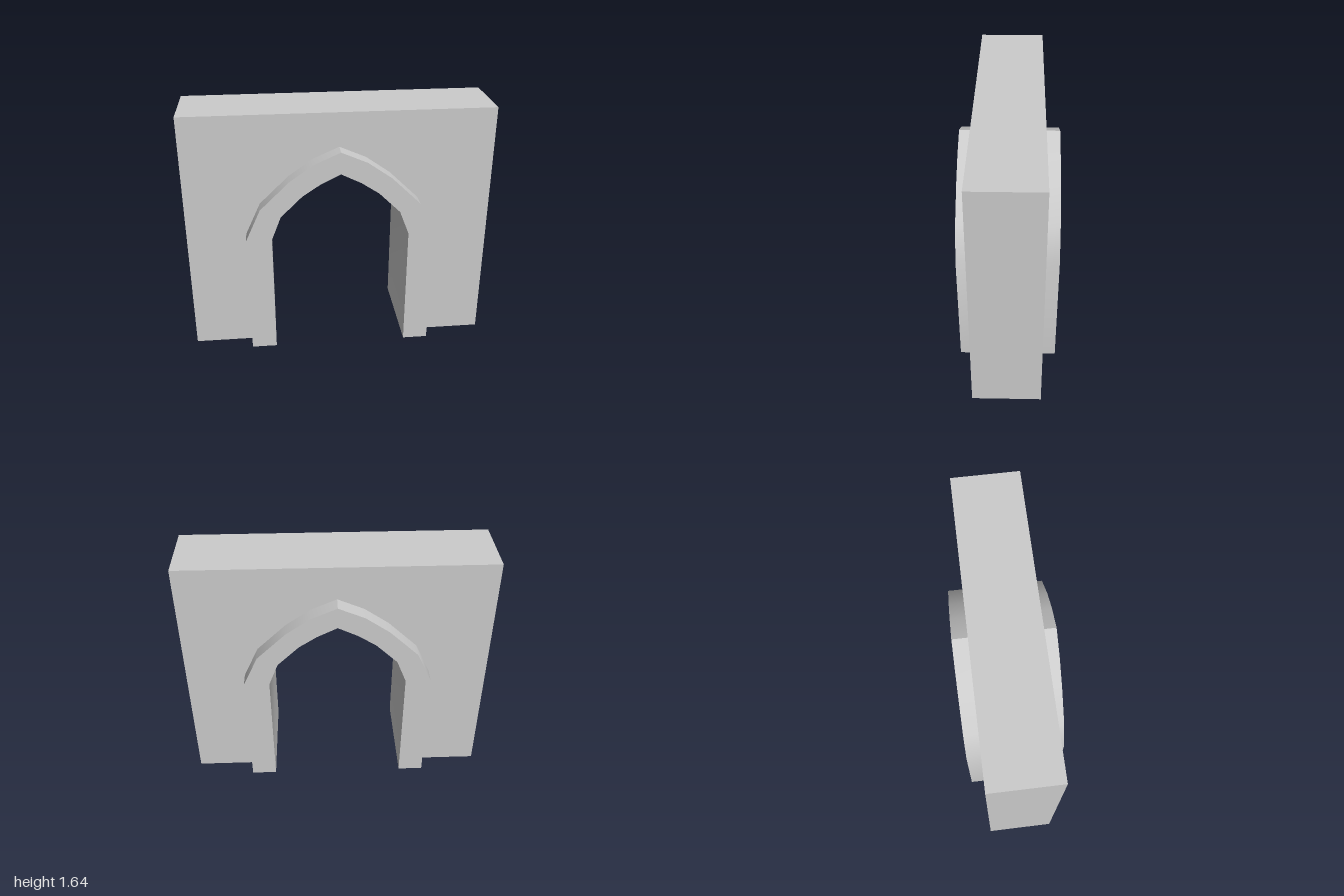
import * as THREE from 'three';
import { toCreasedNormals } from 'three/addons/utils/BufferGeometryUtils.js';

const WALL_DEPTH = 0.445, TRIM_DEPTH = 0.65, HEIGHT = 1.645;

// Right half of each pointed arch, from the ground up to the apex
const INNER = [[0.447, 0], [0.447, 0.835], [0.385, 0.995], [0.245, 1.133], [0.13, 1.21], [0, 1.275]];
const OUTER = [[0.613, 0], [0.613, 0.835], [0.515, 1.05], [0.325, 1.235], [0.17, 1.345], [0, 1.42]];

// Mirrors a half profile into a full arch running from right foot to left foot
function archPoints(half) {
  const left = half.slice(0, -1).reverse().map(([x, y]) => [-x, y]);
  return [...half, ...left].map(([x, y]) => new THREE.Vector2(x, y));
}

// Extrudes an outline to a depth centred on z = 0
function slab(name, points, depth, material) {
  const geometry = new THREE.ExtrudeGeometry(new THREE.Shape(points), { depth, bevelEnabled: false });
  geometry.translate(0, 0, -depth / 2);
  const mesh = new THREE.Mesh(toCreasedNormals(geometry, Math.PI / 6), material);
  mesh.name = name;
  return mesh;
}

export function createModel() {
  const group = new THREE.Group();
  group.name = 'archway';
  const material = new THREE.MeshStandardMaterial({ color: 0xcccccc });

  // Wall block, cut away where the arch surround passes through
  const wall = [
    new THREE.Vector2(-1, 0), ...archPoints(OUTER).reverse(),
    new THREE.Vector2(1, 0), new THREE.Vector2(1, HEIGHT), new THREE.Vector2(-1, HEIGHT),
  ];
  group.add(slab('wall', wall, WALL_DEPTH, material));

  // Pointed surround lining the opening and standing proud of both faces
  const surround = [...archPoints(OUTER), ...archPoints(INNER).reverse()];
  group.add(slab('archSurround', surround, TRIM_DEPTH, material));

  return group;
}
